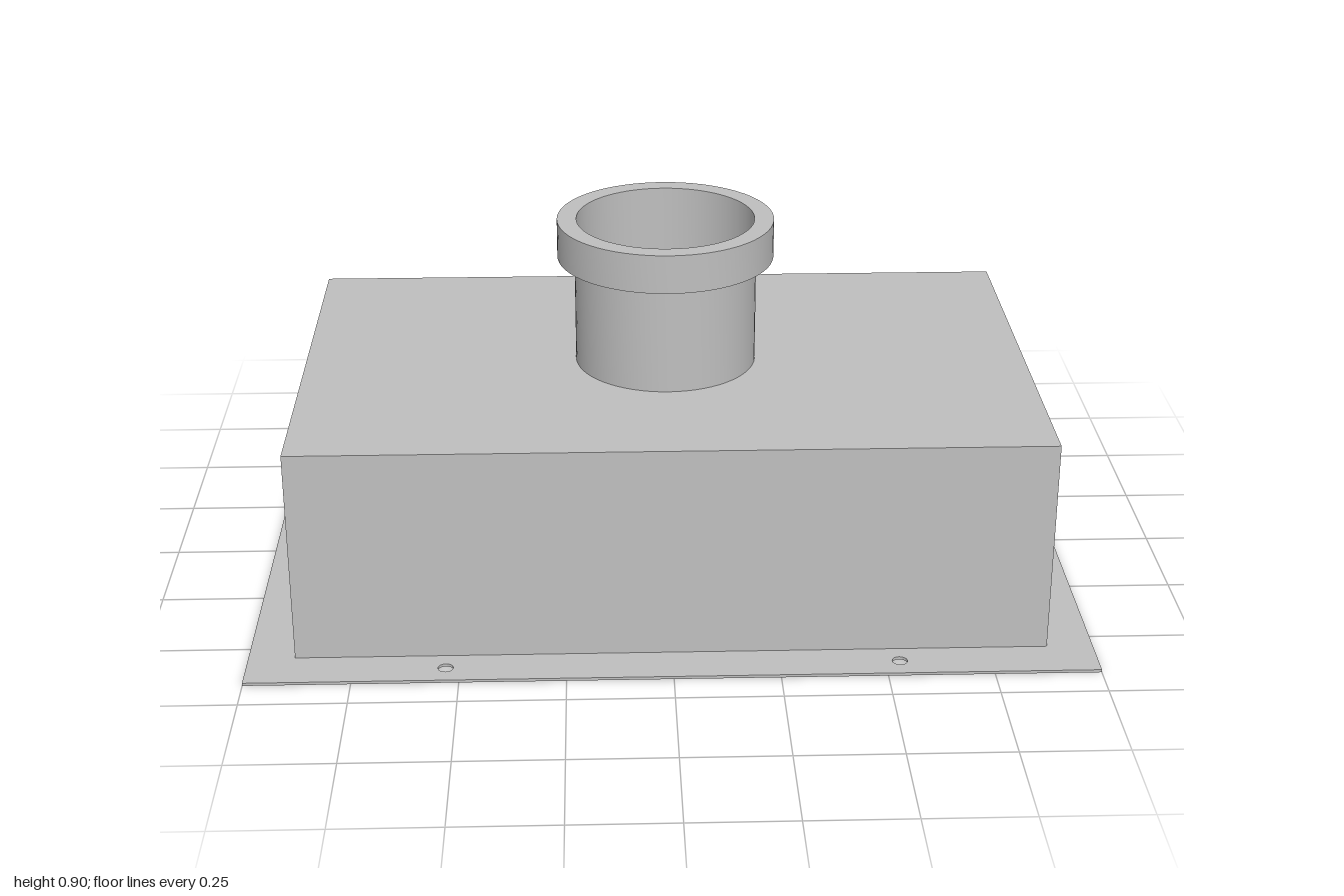
import * as THREE from 'three';
import { toCreasedNormals } from 'three/addons/utils/BufferGeometryUtils.js';

const SHEET = 0.007; // sheet metal thickness
const BOX_W = 1.78, BOX_D = 1.11, BOX_TOP = 0.533;
const PIPE_OUT = 0.222, PIPE_IN = 0.217;

const rectPoints = (w, d) => [
  new THREE.Vector2(-w / 2, -d / 2), new THREE.Vector2(w / 2, -d / 2),
  new THREE.Vector2(w / 2, d / 2), new THREE.Vector2(-w / 2, d / 2),
];
const rectHole = (w, d) => new THREE.Path(rectPoints(w, d).reverse());
const roundHole = (x, z, r) => new THREE.Path().absarc(x, z, r, 0, Math.PI * 2, true);

// Horizontal plate with holes, extruded upward from y0 to y1
function plate(w, d, holes, y0, y1) {
  const shape = new THREE.Shape(rectPoints(w, d));
  shape.holes.push(...holes);
  const geo = new THREE.ExtrudeGeometry(shape, { depth: y1 - y0, bevelEnabled: false, curveSegments: 32 });
  geo.rotateX(-Math.PI / 2);
  geo.translate(0, y0, 0);
  return toCreasedNormals(geo, 0.6);
}

export function createModel() {
  const group = new THREE.Group();
  const metal = new THREE.MeshStandardMaterial({ color: 0xbfbfbf });
  metal.name = 'grey sheet metal';

  const add = (name, geo) => {
    const mesh = new THREE.Mesh(geo, metal);
    mesh.name = name;
    group.add(mesh);
  };

  const innerW = BOX_W - 2 * SHEET, innerD = BOX_D - 2 * SHEET;

  // Mounting flange with six screw holes
  const screws = [[-0.944, 0], [0.944, 0]];
  for (const x of [-0.533, 0.533]) for (const z of [-0.611, 0.611]) screws.push([x, z]);
  add('mountingFlange', plate(2, 1.333,
    [rectHole(innerW, innerD), ...screws.map(([x, z]) => roundHole(x, z, 0.018))], 0, SHEET));

  // Open-bottomed box: four walls and a pierced top
  add('boxWalls', plate(BOX_W, BOX_D, [rectHole(innerW, innerD)], SHEET, BOX_TOP - SHEET));
  add('boxTop', plate(BOX_W, BOX_D, [roundHole(0, 0, PIPE_IN)], BOX_TOP - SHEET, BOX_TOP));

  // Pipe collar with a thick rim, turned as one closed profile
  const profile = [
    [PIPE_IN, BOX_TOP], [PIPE_OUT, BOX_TOP], [PIPE_OUT, 0.803], [0.264, 0.803],
    [0.264, 0.898], [PIPE_IN, 0.898], [PIPE_IN, BOX_TOP],
  ].map(([r, y]) => new THREE.Vector2(r, y));
  add('pipeCollar', toCreasedNormals(new THREE.LatheGeometry(profile, 64), 0.6));

  return group;
}
